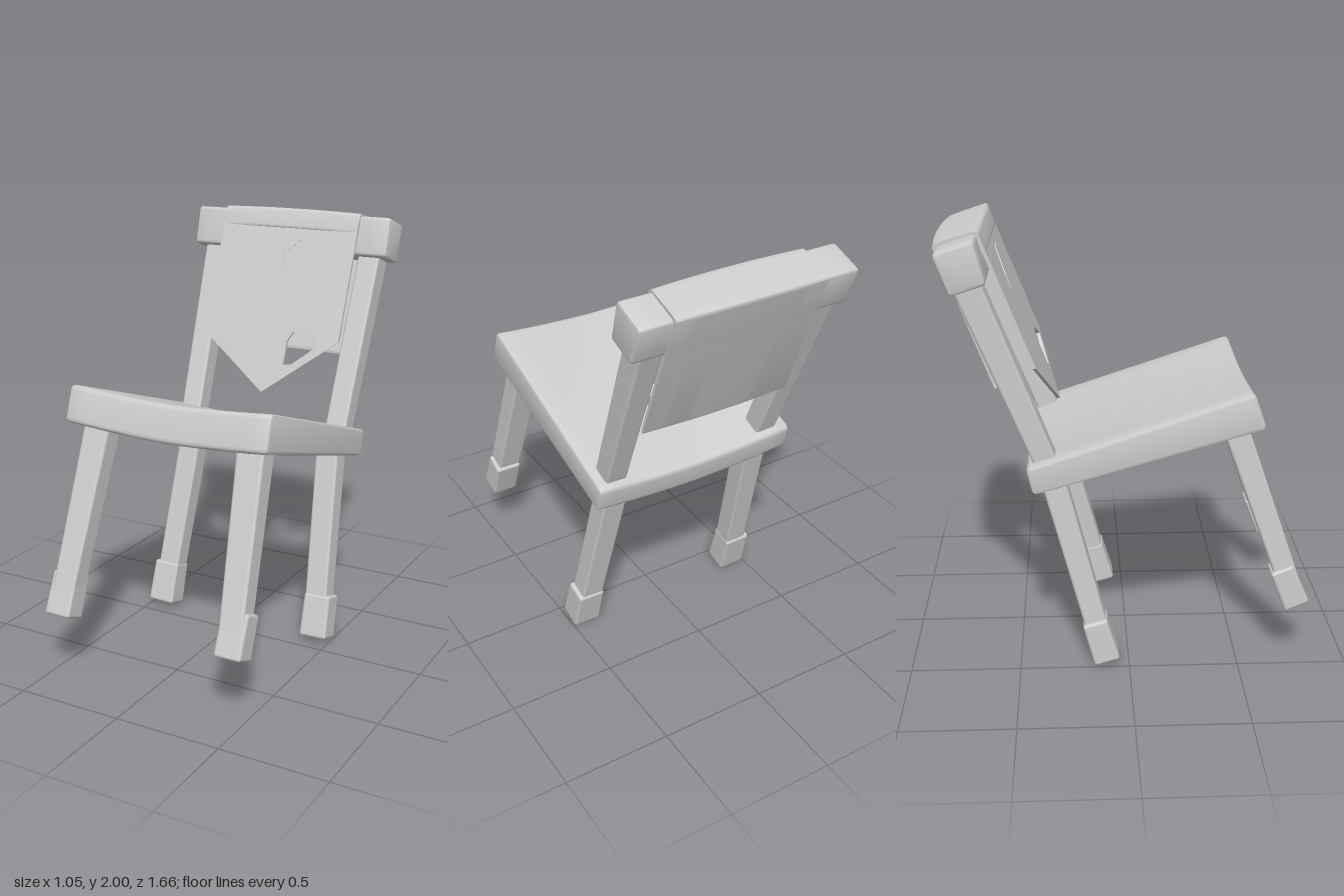
import * as THREE from 'three';
import { toCreasedNormals } from 'three/addons/utils/BufferGeometryUtils.js';
import { RoundedBoxGeometry } from 'three/addons/geometries/RoundedBoxGeometry.js';

const grey = new THREE.MeshStandardMaterial({ color: 0xcccccc });
grey.name = 'plainGrey';

function addMesh(group, name, geometry) {
  const mesh = new THREE.Mesh(geometry, grey);
  mesh.name = name;
  group.add(mesh);
  return mesh;
}

// Moves every vertex by a rule
function deform(geometry, rule) {
  const p = geometry.attributes.position;
  const v = new THREE.Vector3();
  for (let i = 0; i < p.count; i++) {
    rule(v.fromBufferAttribute(p, i));
    p.setXYZ(i, v.x, v.y, v.z);
  }
  return geometry;
}

// Tapered, softly edged bar from a (bottom) to b (top); sizes are [width, depth]
function bar(group, name, a, b, sizeA, sizeB, radius = 0.012) {
  const from = new THREE.Vector3(...a), to = new THREE.Vector3(...b);
  const dir = to.clone().sub(from), length = dir.length();
  const geometry = new RoundedBoxGeometry(sizeA[0], length, sizeA[1], 2, radius);
  deform(geometry, (v) => {
    const t = v.y / length + 0.5;
    v.x *= THREE.MathUtils.lerp(1, sizeB[0] / sizeA[0], t);
    v.z *= THREE.MathUtils.lerp(1, sizeB[1] / sizeA[1], t);
  });
  const mesh = addMesh(group, name, geometry);
  mesh.position.copy(from).add(to).multiplyScalar(0.5);
  mesh.quaternion.setFromUnitVectors(new THREE.Vector3(0, 1, 0), dir.normalize());
}

// Closed outline with rounded corners
function roundedShape(points, r) {
  const pts = points.map((p) => new THREE.Vector2(...p));
  const shape = new THREE.Shape();
  pts.forEach((p, i) => {
    const prev = pts[(i + pts.length - 1) % pts.length], next = pts[(i + 1) % pts.length];
    const toward = (q) => p.clone().add(q.clone().sub(p).setLength(Math.min(r, q.distanceTo(p) * 0.45)));
    const s = toward(prev), e = toward(next);
    if (i === 0) shape.moveTo(s.x, s.y);
    else shape.lineTo(s.x, s.y);
    shape.quadraticCurveTo(p.x, p.y, e.x, e.y);
  });
  shape.closePath();
  return shape;
}

// Side profile given as [z, y], extruded across the width and centred on x
function acrossX(points, r, x0, x1, bevel) {
  const geometry = new THREE.ExtrudeGeometry(roundedShape(points, r), {
    depth: x1 - x0 - 2 * bevel, steps: 12, curveSegments: 4,
    bevelEnabled: bevel > 0, bevelSize: bevel, bevelThickness: bevel, bevelOffset: -bevel, bevelSegments: 2,
  });
  geometry.rotateY(-Math.PI / 2);
  geometry.translate(x1 - bevel, 0, 0);
  return geometry;
}

// Front plane of the hanging cloth
const clothZ = (y) => -0.637 + (2 - y) * 0.39;

function clothPlate(outline, hole, front, back) {
  const toPoints = (list) => list.map((p) => new THREE.Vector2(...p));
  const shape = new THREE.Shape(toPoints(outline));
  if (hole) shape.holes.push(new THREE.Path(toPoints(hole)));
  const geometry = new THREE.ExtrudeGeometry(shape, { depth: front - back, bevelEnabled: false });
  deform(geometry, (v) => { v.z += back + clothZ(v.y); });
  geometry.computeVertexNormals();
  return geometry;
}

export function createModel() {
  const chair = new THREE.Group();
  chair.name = 'chair';

  // Seat: thick tilted slab, thinner at the back, dipping in the middle
  const seat = acrossX([[0.54, 1.314], [-0.455, 0.985], [-0.425, 0.86], [0.597, 1.152]], 0.025, -0.512, 0.502, 0.014);
  deform(seat, (v) => {
    const u = Math.min(1, Math.abs(v.x) / 0.5);
    v.y -= 0.026 * (1 - Math.pow(u, 1.6));
  });
  addMesh(chair, 'seat', toCreasedNormals(seat, 0.6));

  // Legs, feet and back posts on both sides
  for (const [side, s] of [['left', 1], ['right', -1]]) {
    bar(chair, side + 'FrontLeg', [s * 0.433, 0.36, 0.742], [s * 0.387, 1.17, 0.456], [0.113, 0.1], [0.135, 0.112]);
    bar(chair, side + 'FrontFoot', [s * 0.437, 0.287, 0.768], [s * 0.436, 0.474, 0.69], [0.13, 0.12], [0.13, 0.108], 0.014);
    bar(chair, side + 'BackLeg', [s * 0.423, 0.1, -0.125], [s * 0.375, 0.94, -0.348], [0.11, 0.1], [0.115, 0.108]);
    bar(chair, side + 'BackFoot', [s * 0.43, 0.017, -0.1], [s * 0.425, 0.218, -0.158], [0.138, 0.122], [0.132, 0.115], 0.014);
    bar(chair, side + 'BackPost', [s * 0.4, 0.96, -0.355], [s * 0.422, 1.82, -0.695], [0.106, 0.1], [0.11, 0.125]);
  }

  // Top rail, its block ends showing beside the cloth
  const rail = acrossX([[-0.642, 1.988], [-0.815, 1.93], [-0.748, 1.752], [-0.594, 1.803]], 0.02, -0.526, 0.52, 0.014);
  addMesh(chair, 'topRail', toCreasedNormals(rail, 0.6));

  // Cloth folded over the rail and hanging down behind
  const fold = acrossX([
    [-0.6, 1.905], [-0.632, 1.99], [-0.652, 1.996], [-0.81, 1.948], [-0.828, 1.935], [-0.752, 1.75], [-0.583, 1.305],
    [-0.57, 1.312], [-0.735, 1.755], [-0.805, 1.93], [-0.65, 1.978], [-0.618, 1.9],
  ], 0.015, -0.36, 0.368, 0);
  deform(fold, (v) => {
    const bow = 1 - Math.pow(v.x / 0.37, 2);
    v.z += (v.z > -0.72 && v.y > 1.88 ? 0.004 : -0.014) * bow;
    if (v.y > 1.88) v.y += 0.007 * bow;
  });
  addMesh(chair, 'clothFold', toCreasedNormals(fold, 0.7));

  // Pointed front cloth with a torn hole
  addMesh(chair, 'clothFront', clothPlate(
    [[-0.36, 1.395], [0.01, 1.145], [0.368, 1.41], [0.368, 1.975], [-0.36, 1.975]],
    [[0.1, 1.28], [0.1, 1.39], [0.125, 1.435], [0.18, 1.45], [0.275, 1.39], [0.14, 1.285]],
    0, -0.016,
  ));

  // Small ragged flap of fabric
  addMesh(chair, 'clothFlap', clothPlate(
    [[-0.065, 1.69], [0.03, 1.715], [0.005, 1.785], [0.09, 1.87], [0.005, 1.87], [-0.06, 1.75]],
    null, 0.004, -0.002,
  ));

  return chair;
}
